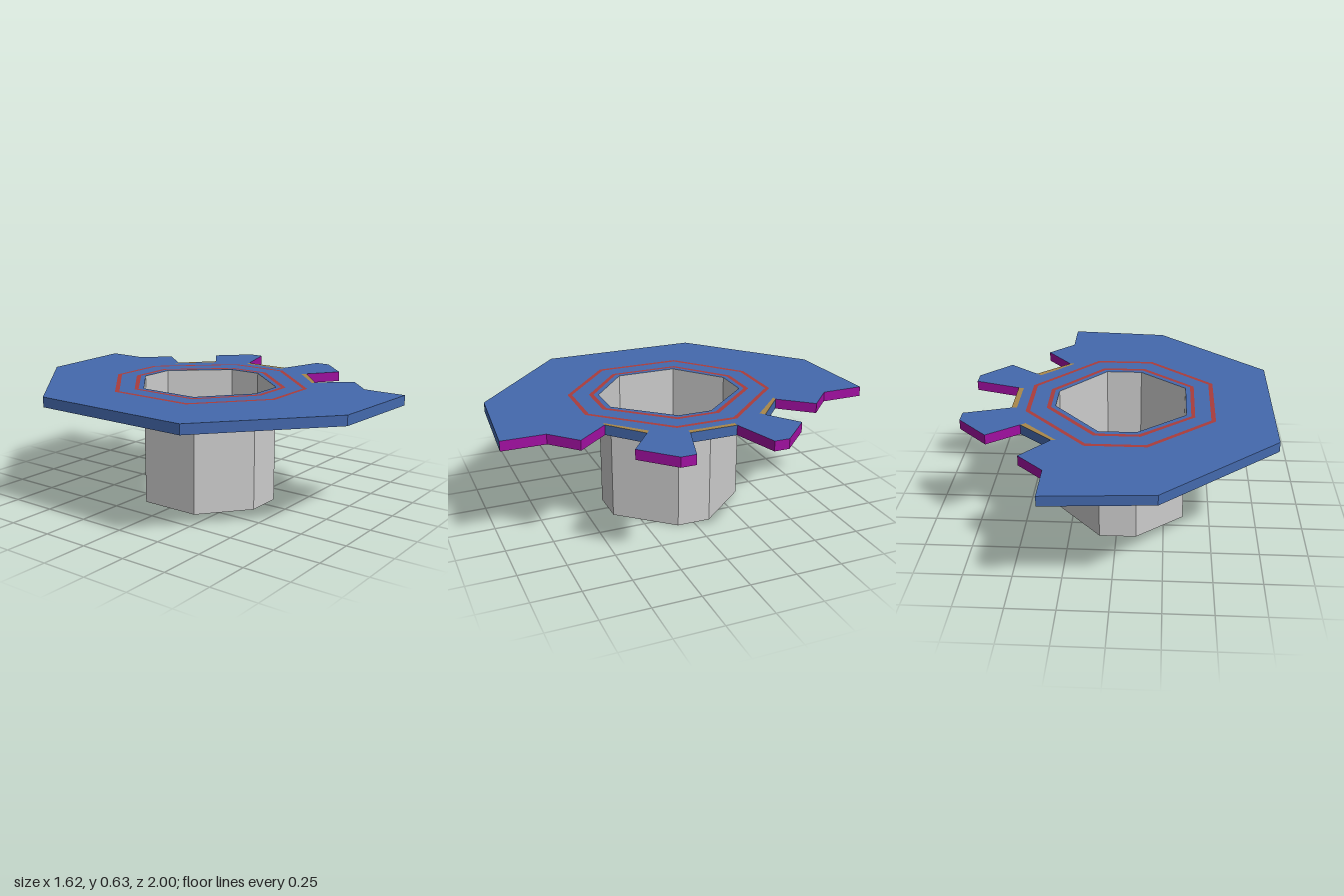
import * as THREE from 'three';

const TOP = 0.63, RIM = 0.577;
const BLUE = 0x4469ad, PURPLE = 0xa010a0, RED = 0xa83c3c, TAN = 0xa8874a, GREY = 0xcccccc;

// Half outline (z >= 0) completed by its mirror image into a closed loop
const mirrorLoop = (half) => [...half, ...half.slice().reverse().map(([x, z]) => [x, -z])];

function addMesh(group, name, geometry, color) {
  const mesh = new THREE.Mesh(geometry, new THREE.MeshStandardMaterial({
    color, flatShading: true, side: THREE.DoubleSide }));
  mesh.name = name;
  group.add(mesh);
}

// Flat sheet at the top level, with an optional hole
function sheet(points, hole) {
  const vec = ([x, z]) => new THREE.Vector2(x, -z);
  const shape = new THREE.Shape(points.map(vec));
  if (hole) shape.holes.push(new THREE.Path(hole.map(vec)));
  return new THREE.ShapeGeometry(shape).rotateX(-Math.PI / 2).translate(0, TOP, 0);
}

// Vertical wall following a path, facing outward
function wall(path, y0, y1) {
  const pos = [];
  for (let i = 0; i + 1 < path.length; i++) {
    const [ax, az] = path[i], [bx, bz] = path[i + 1];
    pos.push(ax, y0, az, ax, y1, az, bx, y1, bz, ax, y0, az, bx, y1, bz, bx, y0, bz);
  }
  const g = new THREE.BufferGeometry();
  g.setAttribute('position', new THREE.Float32BufferAttribute(pos, 3));
  g.computeVertexNormals();
  return g;
}

export function createModel() {
  const group = new THREE.Group();
  group.name = 'collarPlate';

  // Nested octagons, from the hole outward
  const rings = [
    [[-0.355, 0.165], [-0.105, 0.37], [0.09, 0.37], [0.335, 0.09]],
    [[-0.38, 0.18], [-0.115, 0.395], [0.1, 0.395], [0.358, 0.105]],
    [[-0.4, 0.19], [-0.125, 0.418], [0.11, 0.418], [0.38, 0.115]],
    [[-0.482, 0.222], [-0.155, 0.503], [0.142, 0.503], [0.463, 0.155]],
    [[-0.505, 0.232], [-0.163, 0.525], [0.15, 0.525], [0.485, 0.163]],
  ].map(mirrorLoop);

  // Outer edge: broad octagonal back, short side prong, long front prong
  const back = [[-0.81, 0.44], [-0.22, 0.962], [0.32, 0.998]];
  const sideProng = [[0.32, 0.998], [0.32, 0.77], [0.455, 0.64], [0.315, 0.475]];
  const frontProng = [[0.49, 0.32], [0.65, 0.44], [0.81, 0.28], [0.81, 0.2], [0.565, 0.125]];
  const outline = mirrorLoop([...back, ...sideProng.slice(1),
    [0.288, 0.475], [0.465, 0.3], ...frontProng, [0.537, 0.125]]);

  // Top sheet and inlaid octagonal bands
  addMesh(group, 'plate', sheet(outline, rings[4]), BLUE);
  addMesh(group, 'outerStripe', sheet(rings[4], rings[3]), RED);
  addMesh(group, 'middleBand', sheet(rings[3], rings[2]), BLUE);
  addMesh(group, 'innerStripe', sheet(rings[2], rings[1]), RED);
  addMesh(group, 'innerBand', sheet(rings[1], rings[0]), BLUE);

  // Front ledge and its rim
  addMesh(group, 'frontLedge', sheet(
    [[0.537, 0.125], [0.565, 0.125], [0.565, -0.125], [0.537, -0.125]]), TAN);
  addMesh(group, 'frontRim', wall([[0.565, 0.125], [0.565, -0.125]], RIM, TOP), BLUE);
  addMesh(group, 'backRim', wall([[-0.81, -0.44], [-0.81, 0.44]], RIM, TOP), BLUE);

  // Rims and diagonal ledges on both sides
  for (const side of [1, -1]) {
    const flip = (path) => {
      const p = path.map(([x, z]) => [x, z * side]);
      return side > 0 ? p : p.reverse();
    };
    const tag = side > 0 ? 'Front' : 'Back';
    addMesh(group, 'outerRim' + tag, wall(flip(back), RIM, TOP), BLUE);
    addMesh(group, 'sideProngRim' + tag, wall(flip(sideProng), RIM, TOP), PURPLE);
    addMesh(group, 'frontProngRim' + tag, wall(flip(frontProng), RIM, TOP), PURPLE);
    addMesh(group, 'notchRim' + tag, wall(flip([[0.315, 0.475], [0.49, 0.32]]), RIM, TOP), BLUE);
    addMesh(group, 'notchLedge' + tag, sheet(flip(
      [[0.288, 0.475], [0.315, 0.475], [0.49, 0.32], [0.465, 0.3]])), TAN);
  }

  // Open octagonal tube below the hole
  addMesh(group, 'tube', wall([...rings[0], rings[0][0]], 0, TOP), GREY);
  return group;
}
